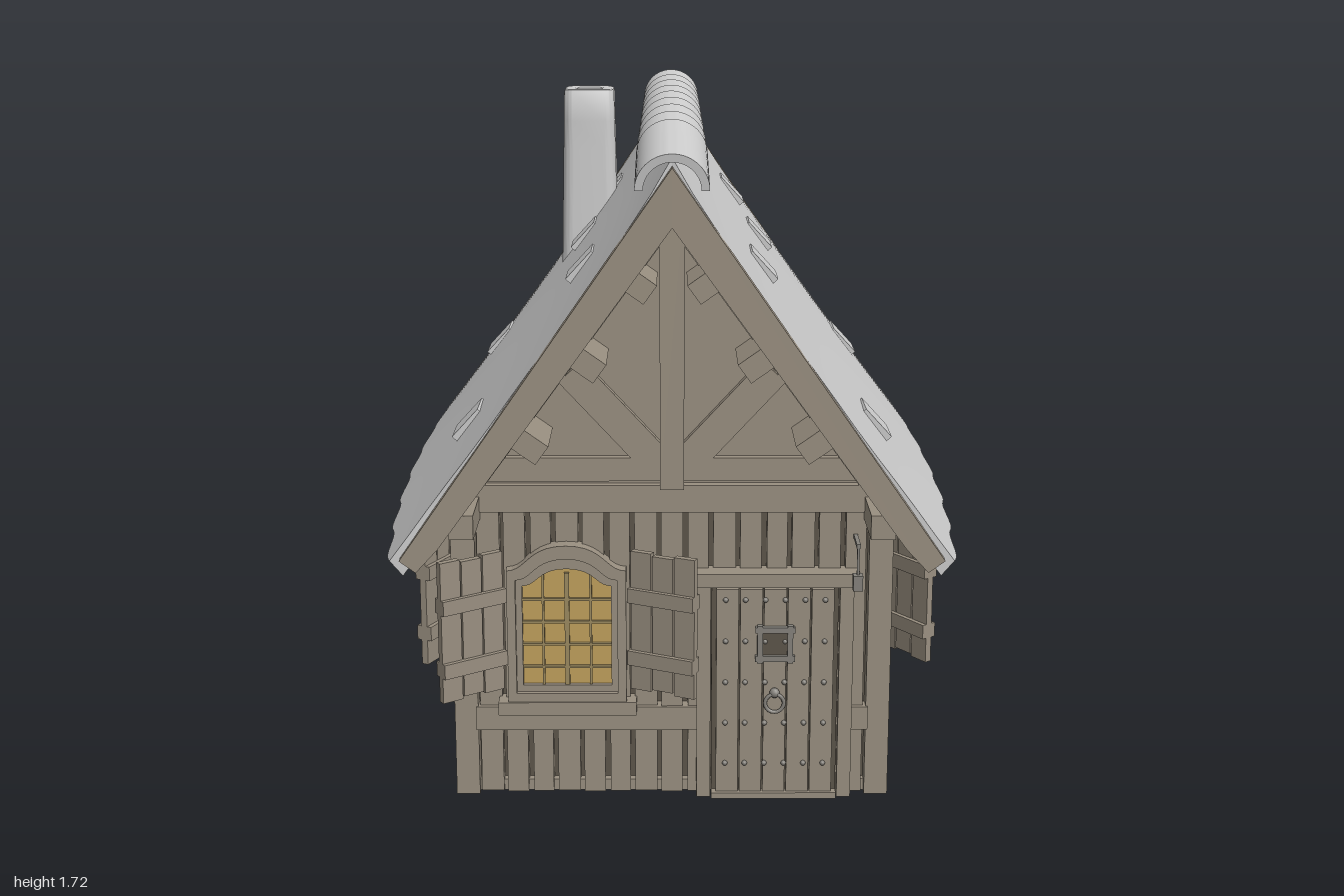
import * as THREE from 'three';
import { toCreasedNormals } from 'three/addons/utils/BufferGeometryUtils.js';

const mat = (color) => new THREE.MeshStandardMaterial({ color });
const wood = mat(0x998f80), darkWood = mat(0x5c554a), glass = mat(0xc0a05c);
const bars = mat(0x9c8a60), metal = mat(0x85827c), grey = mat(0xcccccc);

function add(parent, name, geo, material, x = 0, y = 0, z = 0) {
  const m = new THREE.Mesh(geo, material);
  m.name = name;
  m.position.set(x, y, z);
  parent.add(m);
  return m;
}
const box = (parent, name, material, w, h, d, x, y, z) =>
  add(parent, name, new THREE.BoxGeometry(w, h, d), material, x, y, z);

// Straight timber between two points in the xy plane
function beam(parent, name, x1, y1, x2, y2, width, depth, z) {
  const m = box(parent, name, wood, Math.hypot(x2 - x1, y2 - y1), width, depth, (x1 + x2) / 2, (y1 + y2) / 2, z);
  m.rotation.z = Math.atan2(y2 - y1, x2 - x1);
  return m;
}
function group(parent, name, x = 0, y = 0, z = 0, ry = 0) {
  const g = new THREE.Group();
  g.name = name;
  g.position.set(x, y, z);
  g.rotation.y = ry;
  parent.add(g);
  return g;
}
const polygon = (pts) => new THREE.Shape(pts.map(([x, y]) => new THREE.Vector2(x, y)));
const extrude = (shape, depth) => new THREE.ExtrudeGeometry(shape, { depth, bevelEnabled: false, curveSegments: 10 });

// Point on the roof top: t runs from ridge to eave, the eave bulges at mid length
function roofPoint(t, z) {
  const bulge = 1 - z * z;
  return [t * (0.685 + 0.06 * bulge), 1.66 - (0.98 + 0.02 * bulge) * t ** 0.93];
}
function roofSlab() {
  const geo = new THREE.BoxGeometry(1, 1, 1, 14, 1, 48);
  const p = geo.attributes.position;
  for (let i = 0; i < p.count; i++) {
    const t = p.getX(i) + 0.5, under = 0.5 - p.getY(i), zn = p.getZ(i) * 2;
    const z = zn * (0.965 + 0.007 * Math.sin(t * 21));
    const [x, y] = roofPoint(t * (1 + 0.008 * Math.sin(z * 23)), z);
    p.setXYZ(i, Math.max(0, x - under * 0.032 * t), y - under * (0.06 - 0.022 * t), z);
  }
  geo.computeVertexNormals();
  return geo;
}

// Wall facing +z: planks, rail and top plate
function wall(parent, name, width, height, z, ry, rails) {
  const g = group(parent, name, 0, 0, 0, ry);
  const n = Math.round(width / 0.068), step = width / n;
  for (let i = 0; i < n; i++) {
    const w = step - 0.009 - 0.006 * ((i * 7) % 3) / 2;
    box(g, 'plank', wood, w, height, 0.03, -width / 2 + (i + 0.5) * step, height / 2 + 0.005, z - 0.025 + 0.003 * ((i * 5) % 3));
  }
  for (const [a, b] of rails) box(g, 'rail', wood, b - a, 0.062, 0.04, (a + b) / 2, 0.21, z - 0.015);
  return g;
}

// Outline with straight sides and an ogee top
function ogee(shape, w, bottom, shoulder, rise) {
  shape.moveTo(-w, bottom);
  shape.lineTo(w, bottom);
  shape.lineTo(w, shoulder);
  shape.bezierCurveTo(w * 0.65, shoulder, w * 0.65, shoulder + rise, 0, shoulder + rise);
  shape.bezierCurveTo(-w * 0.65, shoulder + rise, -w * 0.65, shoulder, -w, shoulder);
  shape.closePath();
  return shape;
}
function windowUnit(parent, x, z) {
  const g = group(parent, 'window', x, 0, z);
  const trim = ogee(new THREE.Shape(), 0.15, 0.26, 0.615, 0.065);
  trim.holes.push(ogee(new THREE.Path(), 0.128, 0.288, 0.59, 0.055));
  add(g, 'windowTrim', extrude(trim, 0.05), wood, 0, 0, -0.02);
  const sash = ogee(new THREE.Shape(), 0.132, 0.284, 0.592, 0.056);
  sash.holes.push(ogee(new THREE.Path(), 0.112, 0.305, 0.57, 0.045));
  add(g, 'windowSash', extrude(sash, 0.03), wood, 0, 0, -0.015);
  add(g, 'pane', extrude(ogee(new THREE.Shape(), 0.118, 0.3, 0.575, 0.045), 0.012), glass, 0, 0, -0.012);
  for (const bx of [-0.06, 0, 0.06]) box(g, 'glazingBar', bars, bx ? 0.006 : 0.012, 0.3, 0.01, bx, 0.452, 0.004);
  for (let i = 0; i < 4; i++) box(g, 'glazingBar', bars, 0.226, 0.006, 0.01, 0, 0.352 + i * 0.06, 0.004);
  box(g, 'sill', wood, 0.35, 0.035, 0.06, 0, 0.248, 0.005);
  // Half-open shutters hinged beside the trim
  for (const [s, angle] of [[-1, 0.62], [1, 0.45]]) {
    const h = group(g, 'shutter', s * 0.16, 0, 0.012, -s * angle);
    for (let i = 0; i < 3; i++)
      box(h, 'shutterBoard', wood, 0.056, 0.365 - 0.012 * (i % 2), 0.018, s * (0.034 + i * 0.06), 0.482, 0);
    for (const y of [0.385, 0.55]) for (const side of [-1, 1])
      box(h, 'shutterBatten', wood, 0.18, 0.038, 0.014, s * 0.092, y, side * 0.014);
  }
}

// Gable end facing +z
function gable(parent, ry) {
  const g = group(parent, 'gable', 0, 0, 0, ry);
  add(g, 'gablePanel', extrude(polygon([[-0.55, 0.76], [0.55, 0.76], [0.54, 0.82], [0, 1.57], [-0.54, 0.82]]), 0.03), wood, 0, 0, 0.772);
  box(g, 'tieBeam', wood, 1.08, 0.07, 0.05, 0, 0.795, 0.802);
  box(g, 'upperTieBeam', wood, 0.92, 0.06, 0.03, 0, 0.87, 0.808);
  box(g, 'kingPost', wood, 0.06, 0.72, 0.045, 0, 1.18, 0.808);
  add(g, 'bargeBoard', extrude(polygon([[0, 1.64], [-0.66, 0.69], [-0.62, 0.66], [-0.565, 0.72], [0, 1.5],
    [0.565, 0.72], [0.62, 0.66], [0.66, 0.69]]), 0.05), wood, 0, 0, 0.95);
  for (const s of [-1, 1]) {
    beam(g, 'brace', s * 0.02, 0.87, s * 0.25, 1.12, 0.08, 0.035, 0.808);
    beam(g, 'rafter', s * 0.53, 0.8, 0, 1.53, 0.07, 0.04, 0.808);
    for (const [x, y] of [[0.08, 1.36], [0.2, 1.17], [0.34, 0.97]]) {
      const p = box(g, 'purlin', wood, 0.055, 0.07, 0.2, s * x, y, 0.887);
      p.rotation.z = -s * 0.95;
    }
    box(g, 'eavePurlin', wood, 0.06, 0.06, 0.2, s * 0.51, 0.77, 0.887);
  }
}

function door(parent) {
  const g = group(parent, 'door', 0.26, 0, 0.825);
  for (let i = 0; i < 5; i++) box(g, 'doorPlank', wood, 0.056, 0.55, 0.03, (i - 2) * 0.06, 0.288, 0);
  box(g, 'doorBacking', darkWood, 0.32, 0.56, 0.02, 0, 0.288, -0.01);
  for (const s of [-1, 1]) box(g, 'doorJamb', wood, 0.035, 0.575, 0.04, s * 0.18, 0.288, -0.005);
  box(g, 'lintel', wood, 0.41, 0.035, 0.07, 0.005, 0.593, 0.005);
  box(g, 'threshold', wood, 0.32, 0.016, 0.05, 0, 0.008, 0);
  const rivet = new THREE.SphereGeometry(0.007, 8, 6);
  for (let c = 0; c < 6; c++) for (let r = 0; r < 5; r++)
    add(g, 'rivet', rivet, metal, (c - 2.5) * 0.05, 0.095 + r * 0.11, 0.016);
  // Peephole grille and knocker ring
  for (const s of [-1, 1]) {
    box(g, 'grilleBar', metal, 0.014, 0.1, 0.018, s * 0.038, 0.42, 0.02);
    box(g, 'grilleBar', metal, 0.1, 0.014, 0.018, 0, 0.42 + s * 0.038, 0.02);
  }
  box(g, 'peephole', darkWood, 0.07, 0.07, 0.01, 0, 0.42, 0.014);
  add(g, 'knockerRing', new THREE.TorusGeometry(0.024, 0.005, 8, 20), metal, 0, 0.262, 0.025);
  add(g, 'knockerBoss', new THREE.SphereGeometry(0.013, 10, 8), metal, 0, 0.288, 0.02);
  // Small chain hanging on an arm
  box(g, 'hangerArm', metal, 0.01, 0.01, 0.09, 0.2, 0.695, 0.03);
  box(g, 'hangerChain', metal, 0.006, 0.1, 0.006, 0.2, 0.645, 0.07);
  box(g, 'hangerWeight', metal, 0.024, 0.04, 0.024, 0.2, 0.6, 0.07);
}

function roof(parent) {
  const g = group(parent, 'roof');
  const slab = roofSlab();
  const mirrored = slab.clone().scale(-1, 1, 1);
  const idx = mirrored.index.array;
  for (let i = 0; i < idx.length; i += 3) [idx[i], idx[i + 1]] = [idx[i + 1], idx[i]];
  mirrored.computeVertexNormals();
  add(g, 'roofSlope', slab, grey);
  add(g, 'roofSlope', mirrored, grey);
  // Raised shingles, tilted so their lower edge stands proud
  for (const s of [-1, 1]) for (const [x, z] of [[0.18, -0.51], [0.53, -0.51], [0.25, -0.25], [0.235, 0.4], [0.53, 0.53]]) {
    const [rx, ry] = roofPoint(x / 0.73, z);
    const m = box(g, 'shingle', grey, 0.1, 0.02, 0.125, s * rx, ry + 0.002, z);
    m.rotation.z = -s * 0.83;
  }
  // Overlapping ridge tiles
  const arc = new THREE.Shape();
  arc.absarc(0, 0, 0.088, 0, Math.PI, false);
  arc.absarc(0, 0, 0.068, Math.PI, 0, true);
  const tile = toCreasedNormals(new THREE.ExtrudeGeometry(arc, { depth: 0.32, bevelEnabled: false, curveSegments: 20 }), 0.6);
  for (let i = 0; i < 9; i++) add(g, 'ridgeTile', tile, grey, 0, 1.635, 0.675 - i * 0.2085).rotation.x = 0.155;
}

function roundedSquare(shape, h, r) {
  [[1, -1], [1, 1], [-1, 1], [-1, -1]].forEach(([x, y], i) =>
    shape.absarc(x * (h - r), y * (h - r), r, (i - 1) * Math.PI / 2, i * Math.PI / 2, false));
  shape.closePath();
  return shape;
}
// Tapered hollow chimney
function chimney(parent) {
  const s = roundedSquare(new THREE.Shape(), 0.066, 0.022);
  s.holes.push(roundedSquare(new THREE.Path(), 0.042, 0.012));
  let geo = new THREE.ExtrudeGeometry(s, { depth: 0.68, steps: 8, curveSegments: 5, bevelSize: 0.008, bevelThickness: 0.008, bevelSegments: 2 });
  geo.rotateX(-Math.PI / 2);
  const p = geo.attributes.position;
  for (let i = 0; i < p.count; i++) {
    const k = 1 + 0.2 * (1 - p.getY(i) / 0.68);
    p.setX(i, p.getX(i) * k);
    p.setZ(i, p.getZ(i) * k);
  }
  add(parent, 'chimney', toCreasedNormals(geo, 0.7), grey, -0.245, 1.02, -0.43);
}

export function createModel() {
  const model = new THREE.Group();
  model.name = 'cottage';
  // Solid core behind the planks, and the floor
  add(model, 'core', extrude(polygon([[-0.525, 0.02], [0.525, 0.02], [0.525, 0.8], [0, 1.54], [-0.525, 0.8]]), 1.56), darkWood, 0, 0, -0.78);
  box(model, 'floor', wood, 1.07, 0.03, 1.6, 0, 0.017, 0);
  for (const x of [-1, 1]) for (const z of [-1, 1])
    box(model, 'cornerPost', wood, 0.06, 0.79, 0.06, x * 0.525, 0.395, z * 0.79);

  const front = wall(model, 'frontWall', 0.99, 0.76, 0.82, 0, [[-0.5, 0.07], [0.455, 0.5]]);
  windowUnit(front, -0.265, 0.82);
  door(front);
  wall(model, 'backWall', 0.99, 0.76, 0.82, Math.PI, [[-0.5, 0.5]]);
  for (const s of [-1, 1]) {
    const side = wall(model, 'sideWall', 1.52, 0.77, 0.555, s * Math.PI / 2, [[-0.77, 0.77]]);
    for (const x of [-0.35, 0.35]) windowUnit(side, x, 0.555);
  }
  gable(model, 0);
  gable(model, Math.PI);
  roof(model);
  chimney(model);
  return model;
}
